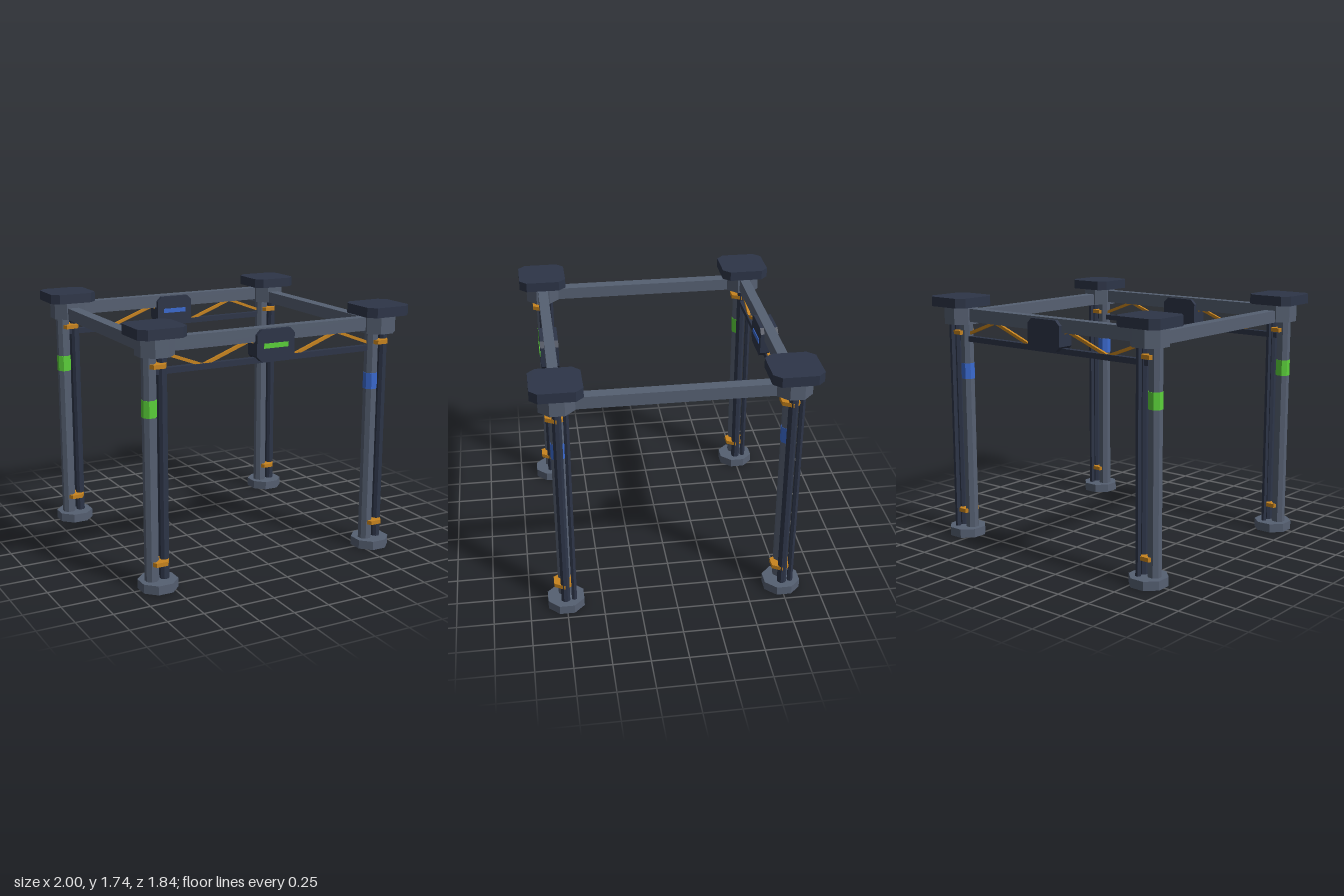
import * as THREE from 'three';

const mat = (name, color) => Object.assign(new THREE.MeshStandardMaterial({ color }), { name });

export function createModel() {
  const steel = mat('steelGrey', 0x566072);
  const navy = mat('darkNavy', 0x2d3548);
  const orange = mat('orange', 0xc8841e);
  const green = mat('signalGreen', 0x5bd13a);
  const blue = mat('signalBlue', 0x3a6ad0);

  const LEG_X = 0.833, LEG_Z = 0.753;
  const model = new THREE.Group();
  model.name = 'gantryFrame';

  const add = (parent, name, geo, material, x, y, z) => {
    const mesh = new THREE.Mesh(geo, material);
    mesh.name = name;
    mesh.position.set(x, y, z);
    parent.add(mesh);
    return mesh;
  };

  // Flat-sided prism standing between two heights, one flat facing the front
  const prism = (radius, y0, y1, sides) =>
    new THREE.CylinderGeometry(radius, radius, y1 - y0, sides, 1, false, Math.PI / sides)
      .toNonIndexed().translate(0, (y0 + y1) / 2, 0);
  const faceted = (geo) => { geo.computeVertexNormals(); return geo; };
  const post = (...args) => faceted(prism(...args));

  // Rectangle with cut corners, extruded and centred on its depth
  const cutPlate = (w, h, cut, depth) => {
    const a = w / 2, b = h / 2;
    const shape = new THREE.Shape([
      [a - cut, -b], [a, -b + cut], [a, b - cut], [a - cut, b],
      [-a + cut, b], [-a, b - cut], [-a, -b + cut], [-a + cut, -b],
    ].map(([x, y]) => new THREE.Vector2(x, y)));
    return new THREE.ExtrudeGeometry(shape, { depth, bevelEnabled: false }).translate(0, 0, -depth / 2);
  };

  // Corner legs: every leg is the same cluster, only the signal sleeve changes
  for (const sx of [-1, 1]) {
    for (const sz of [-1, 1]) {
      const leg = new THREE.Group();
      leg.name = 'leg';
      leg.position.set(sx * LEG_X, 0, sz * LEG_Z);
      add(leg, 'foot', post(0.133, 0, 0.062, 8), steel, 0, 0, 0);
      add(leg, 'mainColumn', post(0.047, 0.05, 1.56, 8), steel, -0.045, 0, 0.004);
      add(leg, 'thinColumn', post(0.032, 0.05, 1.56, 8), navy, 0.046, 0, 0.004);
      add(leg, 'conduit', post(0.02, 0.05, 1.56, 6), navy, 0.042, 0, -0.055);
      add(leg, 'signalSleeve', post(0.0495, 1.155, 1.267, 8), sx < 0 ? green : blue, -0.045, 0, 0.004);
      for (const y of [0.184, 1.483]) {
        add(leg, 'clampBand', post(0.078, y - 0.014, y + 0.014, 6), orange, 0, 0, 0.009);
      }
      add(leg, 'hub', post(0.126, 1.545, 1.675, 8), steel, 0, 0, 0);
      add(leg, 'cap', cutPlate(0.334, 0.334, 0.05, 0.067).rotateX(-Math.PI / 2), navy, 0, 1.7025, 0);
      model.add(leg);
    }
  }

  // Side beams
  for (const sx of [-1, 1]) {
    add(model, 'sideBeam', new THREE.BoxGeometry(0.082, 0.083, 2 * LEG_Z), steel, sx * LEG_X, 1.586, 0);
  }

  // Front and back trusses with a display in the middle
  for (const sz of [-1, 1]) {
    const truss = new THREE.Group();
    truss.name = sz > 0 ? 'frontTruss' : 'backTruss';
    truss.position.z = sz * LEG_Z;
    add(truss, 'topBeam', new THREE.BoxGeometry(2 * LEG_X, 0.09, 0.07), steel, 0, 1.61, 0);
    add(truss, 'lowerChord', new THREE.BoxGeometry(2 * LEG_X, 0.038, 0.04), navy, 0, 1.44, 0);

    // Zigzag braces alternate between the upper beam and the lower chord
    const nodes = [0, 1, 2, 3, 4, 5].map((i) =>
      new THREE.Vector2(-LEG_X + (i * 2 * LEG_X) / 5, i % 2 ? 1.447 : 1.573));
    for (let i = 0; i < 5; i++) {
      const d = nodes[i + 1].clone().sub(nodes[i]);
      const mid = nodes[i].clone().add(nodes[i + 1]).multiplyScalar(0.5);
      const brace = add(truss, 'brace', new THREE.BoxGeometry(d.length(), 0.02, 0.02), orange, mid.x, mid.y, 0);
      brace.rotation.z = d.angle();
    }

    add(truss, 'displayBody', cutPlate(0.28, 0.208, 0.034, 0.122), navy, 0, 1.542, 0);
    add(truss, 'displayBar', new THREE.BoxGeometry(0.182, 0.032, 0.006), sz > 0 ? green : blue, 0, 1.539, 0.063);
    model.add(truss);
  }

  return model;
}
